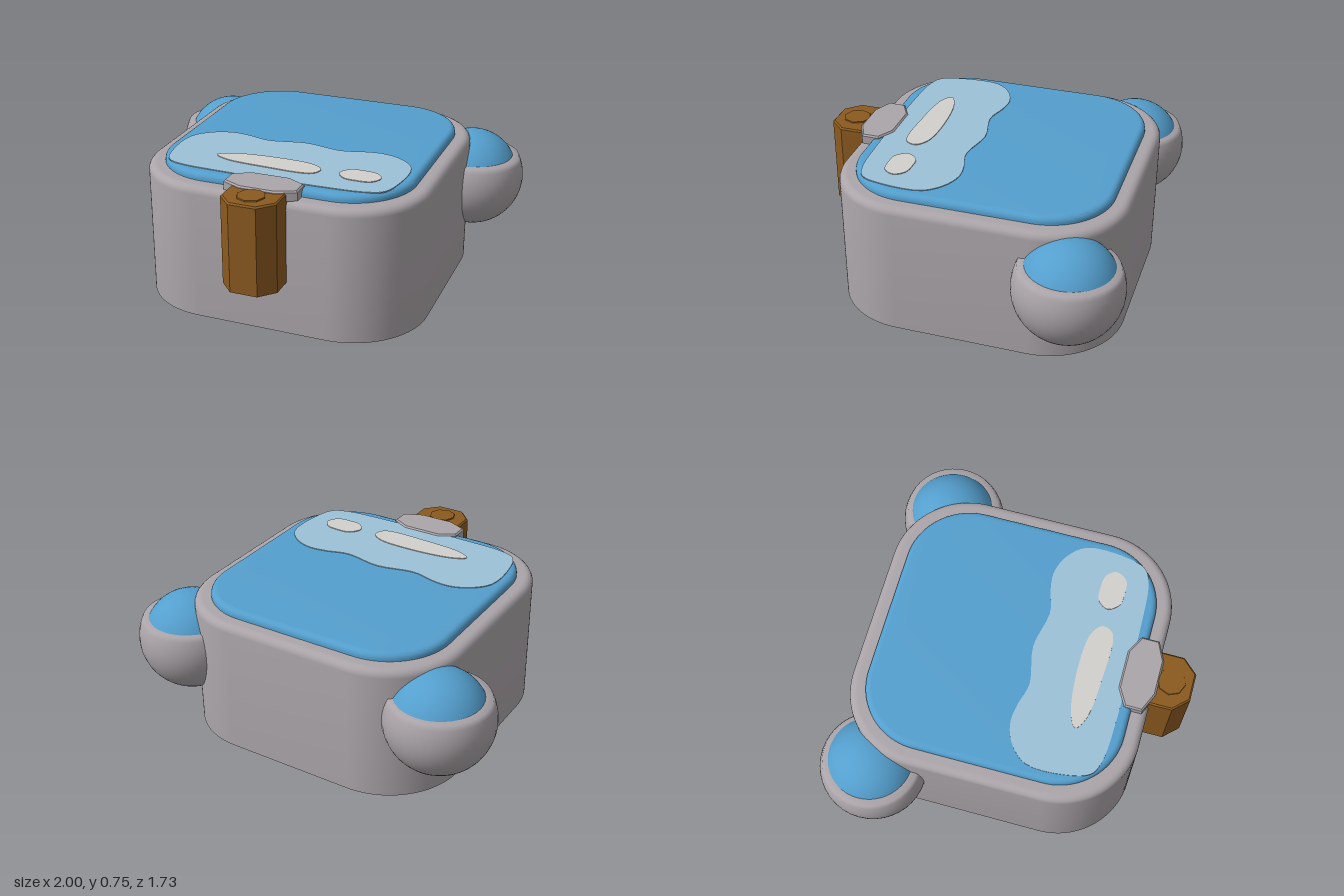
import * as THREE from 'three';
import { toCreasedNormals } from 'three/addons/utils/BufferGeometryUtils.js';

const paint = (name, color) => new THREE.MeshStandardMaterial({ name, color });

// Square outline with rounded corners, h = half width, r = corner radius
function roundedSquare(h, r) {
  const s = new THREE.Shape();
  [[1, 1, 0], [-1, 1, 1], [-1, -1, 2], [1, -1, 3]].forEach(([x, y, q]) =>
    s.absarc(x * (h - r), y * (h - r), r, q * Math.PI / 2, (q + 1) * Math.PI / 2, false));
  return s;
}

// Outline from [x, z] points, optionally smoothed
function outline(points, smooth = false) {
  let pts = points.map(([x, z]) => new THREE.Vector3(x, -z, 0));
  if (smooth) pts = new THREE.CatmullRomCurve3(pts, true, 'centripetal').getPoints(80).slice(0, -1);
  return new THREE.Shape(pts.map(p => new THREE.Vector2(p.x, p.y)));
}

// Horizontal slab from y0 to y1; only the top edge is rounded
function slab(shape, y0, y1, bevel = 0, steps = 5) {
  const g = new THREE.ExtrudeGeometry(shape, {
    depth: y1 - y0 - bevel, bevelEnabled: bevel > 0, bevelThickness: bevel,
    bevelSize: bevel, bevelOffset: -bevel, bevelSegments: steps, curveSegments: 16,
  });
  g.rotateX(-Math.PI / 2).translate(0, y0, 0);
  const p = g.attributes.position;
  for (let i = 0; i < p.count; i++) p.setY(i, Math.max(p.getY(i), y0));
  return toCreasedNormals(g, 0.6);
}

// Points on a circular arc for a lathe profile, angles from the bottom
function arc(cy, r, a0, a1, n = 20) {
  return Array.from({ length: n + 1 }, (_, i) => {
    const a = a0 + (a1 - a0) * i / n;
    return new THREE.Vector2(Math.max(0, r * Math.sin(a)), cy - r * Math.cos(a));
  });
}

export function createModel() {
  const model = new THREE.Group();
  const grey = paint('warm grey', 0xaba5a9);
  const blue = paint('blue', 0x549fce);
  const pale = paint('pale blue', 0x9cc1d8);
  const white = paint('off white', 0xd3d0cd);
  const brown = paint('brown', 0x8b5a1f);
  const add = (name, geometry, material, x = 0, y = 0, z = 0) => {
    const m = new THREE.Mesh(geometry, material);
    m.name = name;
    m.position.set(x, y, z);
    model.add(m);
    return m;
  };

  // Case and raised lid panel
  add('body', slab(roundedSquare(0.738, 0.4), 0, 0.704, 0.04), grey, 0, 0, -0.06);
  add('lidPanel', slab(roundedSquare(0.657, 0.33), 0.6, 0.743, 0.03), blue, 0, 0, -0.06);

  // Wavy pale patch with two light spots
  const half = [[0.2, 0.08], [0.32, 0.05], [0.42, 0.042], [0.52, 0.08], [0.598, 0.17],
    [0.598, 0.38], [0.56, 0.49], [0.48, 0.525], [0.25, 0.54]];
  const patch = [[0, 0.045], ...half, ...half.map(([x, z]) => [-x, z]).reverse()];
  add('palePatch', slab(outline(patch, true), 0.741, 0.747), pale);
  const longSpot = [[-0.36, 0.355], [-0.3, 0.318], [-0.08, 0.29], [0.14, 0.308], [0.195, 0.355],
    [0.17, 0.412], [-0.08, 0.42], [-0.3, 0.395]];
  const shortSpot = [[0.292, 0.355], [0.33, 0.3], [0.4, 0.292], [0.47, 0.305], [0.503, 0.355],
    [0.47, 0.41], [0.4, 0.42], [0.33, 0.41]];
  add('longSpot', slab(outline(longSpot, true), 0.745, 0.751), white);
  add('shortSpot', slab(outline(shortSpot, true), 0.745, 0.751), white);

  // Round ears with blue caps
  const bowl = arc(0.437, 0.272, 0, 2.03);
  bowl.push(new THREE.Vector2(0.2, 0.56));
  const cap = arc(0.44, 0.246, 2.02, Math.PI, 10);
  for (const s of [1, -1]) {
    const side = s > 0 ? 'left' : 'right';
    add(side + 'Ear', new THREE.LatheGeometry(bowl, 40), grey, s * 0.726, 0, -0.597);
    add(side + 'EarCap', new THREE.LatheGeometry(cap, 40), blue, s * 0.72, 0, -0.6);
  }

  // Front clasp: grey plates and an eight-sided brown peg
  const clip = [[-0.1, 0.51], [0.1, 0.51], [0.19, 0.56], [0.19, 0.65], [0.09, 0.695],
    [-0.09, 0.695], [-0.19, 0.65], [-0.19, 0.56]].reverse();
  add('clip', slab(outline(clip), 0.705, 0.755, 0.008, 1), grey);
  add('backPlate', new THREE.BoxGeometry(0.21, 0.44, 0.05), grey, 0, 0.485, 0.668);
  const peg = [[-0.07, 0.59], [0.07, 0.59], [0.142, 0.66], [0.142, 0.79], [0.07, 0.866],
    [-0.07, 0.866], [-0.142, 0.79], [-0.142, 0.66]].reverse();
  add('peg', slab(outline(peg), 0.28, 0.744, 0.008, 1), brown);
  const stud = new THREE.CylinderGeometry(0.07, 0.075, 0.02, 8).toNonIndexed();
  stud.computeVertexNormals();
  add('pegStud', stud, brown, 0, 0.74, 0.755);

  return model;
}
